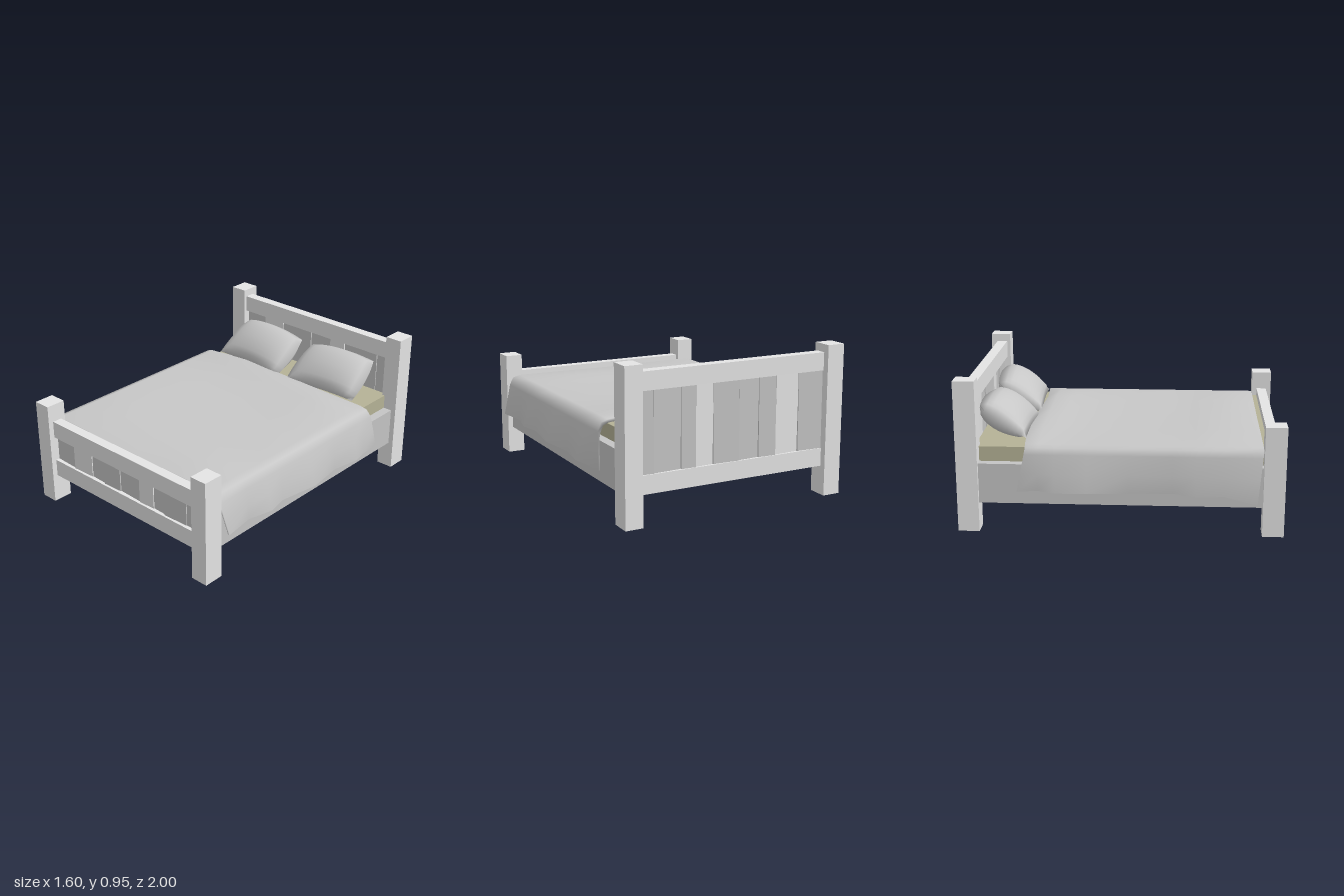
import * as THREE from 'three';
import { mergeVertices } from 'three/addons/utils/BufferGeometryUtils.js';

function material(name, color, side = THREE.FrontSide) {
  const m = new THREE.MeshStandardMaterial({ color, side });
  m.name = name;
  return m;
}
const frameGrey = material('frame grey', 0xe4e4e4);
const boardGrey = material('board grey', 0xc4c4c4);
const linenGrey = material('linen grey', 0xc7c7c7, THREE.DoubleSide);
const mattressOlive = material('mattress olive', 0xb5b296);

// Box given by its minimum and maximum on each axis
function box(name, mat, [x0, x1], [y0, y1], [z0, z1]) {
  const mesh = new THREE.Mesh(new THREE.BoxGeometry(x1 - x0, y1 - y0, z1 - z0), mat);
  mesh.position.set((x0 + x1) / 2, (y0 + y1) / 2, (z0 + z1) / 2);
  mesh.name = name;
  return mesh;
}

// Two posts, two rails and a row of slightly uneven boards
function endBoard(name, postZ, railZ, postTop, railTop) {
  const group = new THREE.Group();
  group.name = name;
  group.add(box('rightPost', frameGrey, [-0.738, -0.622], [0, postTop], postZ));
  group.add(box('leftPost', frameGrey, [0.64, 0.754], [0, postTop], postZ));
  group.add(box('topRail', frameGrey, [-0.622, 0.64], [railTop - 0.112, railTop], railZ));
  group.add(box('bottomRail', frameGrey, [-0.622, 0.64], [0.183, 0.298], railZ));
  const edges = [-0.622, -0.45, -0.285, -0.165, -0.025, 0.15, 0.27, 0.365, 0.545, 0.64];
  const mid = (railZ[0] + railZ[1]) / 2;
  for (let i = 0; i < edges.length - 1; i++) {
    const light = i === 1 || i === 5;
    const z = mid + (i % 2 ? 0.003 : -0.003);
    const board = box('board', light ? frameGrey : boardGrey, [edges[i] + 0.001, edges[i + 1] - 0.001],
      [0.285, railTop - 0.1], [z - 0.023, z + 0.012]);
    board.rotation.y = i % 2 ? 0.04 : -0.04;
    board.rotation.z = i % 2 ? 0.006 : -0.006;
    group.add(board);
  }
  return group;
}

// Tilted cushion: a box grid bulged by a rule, fuller towards the back
function pillow(name, x, turn) {
  let geo = new THREE.BoxGeometry(2, 2, 2, 14, 1, 10);
  geo.deleteAttribute('uv');
  geo.deleteAttribute('normal');
  const p = geo.attributes.position;
  for (let i = 0; i < p.count; i++) {
    const u = p.getX(i), v = p.getZ(i), up = p.getY(i) > 0;
    const swell = Math.pow(Math.max(0, (1 - u * u) * (1 - v * v)), 0.48) * (1 - 0.22 * v);
    const wide = 0.283 - 0.02 * v * v + 0.012 * v;
    const deep = v < 0 ? 0.165 + 0.025 * (1 - u * u) : 0.175 - 0.012 * (1 - u * u);
    p.setXYZ(i, u * wide, swell * (up ? 0.092 : -0.118), v * deep);
  }
  geo = mergeVertices(geo, 1e-4);
  geo.computeVertexNormals();
  const mesh = new THREE.Mesh(geo, linenGrey);
  mesh.name = name;
  mesh.rotation.set(0.56, turn, 0);
  mesh.position.set(x, 0.65, -0.722);
  return mesh;
}

// Blanket: stations along the bed, each a closed loop across it
function blanket() {
  // z, top height, right hem x and y, left hem x and y
  const stations = [
    [0.865, 0.55, -0.8, 0.225, 0.79, 0.29],
    [0.63, 0.566, -0.762, 0.262, 0.757, 0.287],
    [0.46, 0.558, -0.76, 0.255, 0.795, 0.284],
    [0.32, 0.55, -0.755, 0.275, 0.762, 0.281],
    [0.05, 0.552, -0.742, 0.265, 0.8, 0.277],
    [-0.2, 0.553, -0.787, 0.275, 0.762, 0.273],
    [-0.4, 0.574, -0.765, 0.265, 0.792, 0.27],
    [-0.5, 0.588, -0.75, 0.275, 0.77, 0.267],
    [-0.575, 0.572, -0.742, 0.265, 0.757, 0.265]
  ];
  const t = 0.02;
  const pos = [], idx = [];
  stations.forEach(([z, top, rx, ry, lx, ly], s) => {
    const outer = [
      [rx, ry], [(rx - 0.737) / 2, 0.38], [-0.735, 0.5], [-0.72, 0.54], [-0.68, 0.552],
      [-0.35, top], [0, top - 0.004], [0.35, top],
      [0.66, 0.552], [0.71, 0.538], [0.737, 0.49], [(lx + 0.74) / 2, 0.38], [lx, ly]
    ];
    const inner = outer.map(([x, y]) => [x - t * 0.6 * Math.sign(x) * (Math.abs(x) > 0.7), y - (y > 0.45 ? t : 0)]);
    const loop = outer.concat(inner.reverse());
    for (const [x, y] of loop) {
      const hang = Math.max(0, 0.54 - y) / 0.27;
      // Uneven turn-down at the head end, sides swept backward at both ends
      let dz = 0;
      if (s === stations.length - 1) dz = 0.02 * Math.sin(x * 5) - 0.01 - 0.055 * hang;
      if (s === 0) dz = -0.03 * hang;
      pos.push(x, y, z + dz);
    }
    const n = loop.length;
    if (s > 0) for (let i = 0; i < n; i++) {
      const a = (s - 1) * n + i, b = (s - 1) * n + (i + 1) % n;
      idx.push(a, b, a + n, b, b + n, a + n);
    }
    // Close both ends with a strip between outer and inner lines
    if (s === 0 || s === stations.length - 1) for (let i = 0; i < n / 2 - 1; i++) {
      const o = s * n, a = o + i, b = a + 1, c = o + n - 1 - i, d = c - 1;
      if (s === 0) idx.push(a, c, b, b, c, d);
      else idx.push(a, b, c, b, d, c);
    }
  });
  const geo = new THREE.BufferGeometry();
  geo.setAttribute('position', new THREE.Float32BufferAttribute(pos, 3));
  geo.setIndex(idx);
  geo.computeVertexNormals();
  const mesh = new THREE.Mesh(geo, linenGrey);
  mesh.name = 'blanket';
  return mesh;
}

export function createModel() {
  const model = new THREE.Group();
  model.name = 'bed';
  model.add(endBoard('headboard', [-1, -0.868], [-0.958, -0.89], 0.952, 0.902));
  model.add(endBoard('footboard', [0.868, 1], [0.9, 0.965], 0.694, 0.577));
  model.add(box('rightSideRail', boardGrey, [-0.715, -0.65], [0.18, 0.432], [-0.88, 0.88]));
  model.add(box('leftSideRail', boardGrey, [0.655, 0.72], [0.18, 0.432], [-0.88, 0.88]));
  model.add(box('mattress', mattressOlive, [-0.66, 0.66], [0.3, 0.525], [-0.895, 0.902]));
  model.add(blanket());
  model.add(pillow('rightPillow', -0.315, -0.05));
  model.add(pillow('leftPillow', 0.305, 0.05));
  return model;
}
